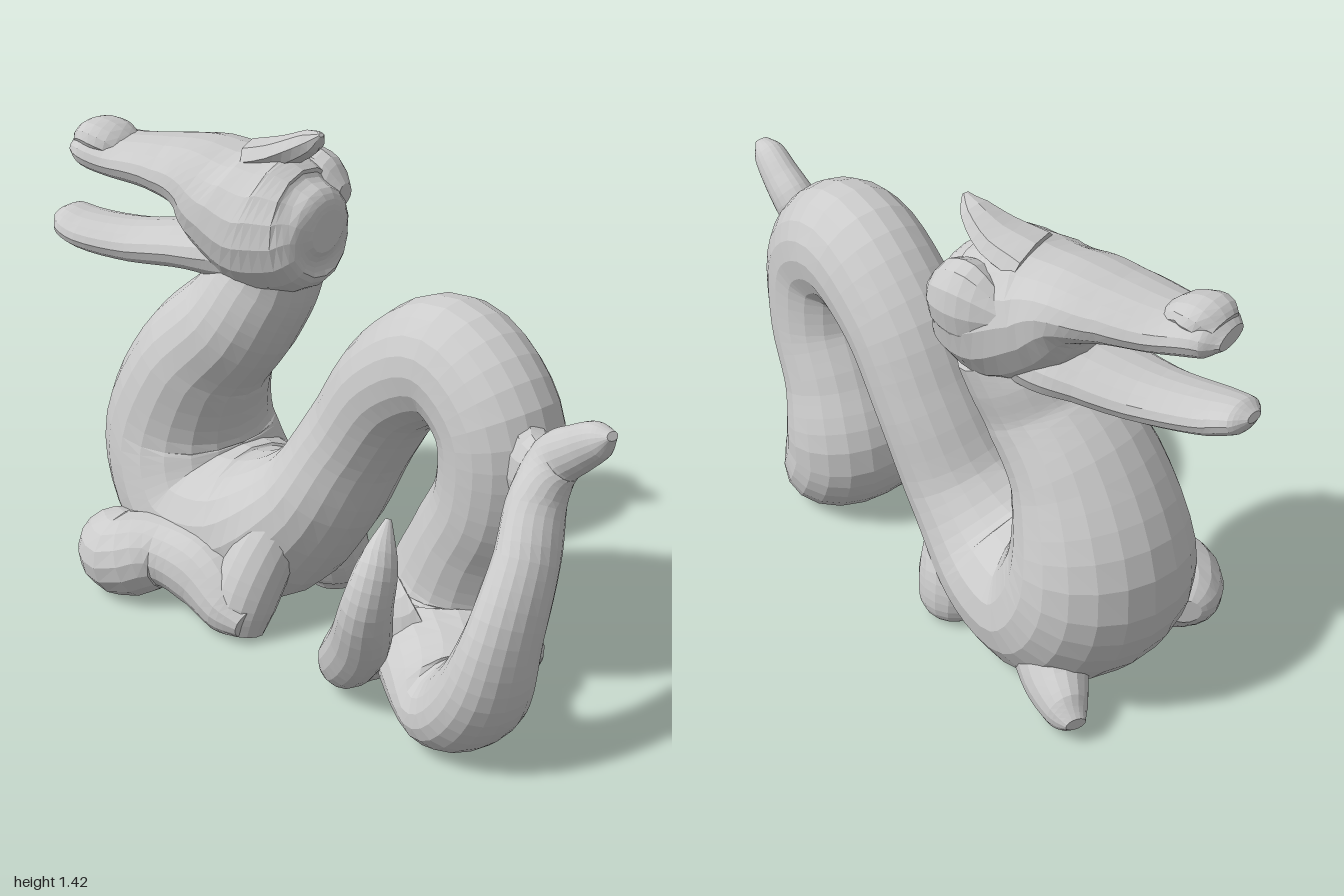
import * as THREE from 'three';

const material = new THREE.MeshStandardMaterial({ color: 0xcccccc, flatShading: true });
const FLOOR = 0.01;

// Elliptical tube through rows of [x, y, z, in-plane radius, sideways radius]
function sweep(rows, steps = 4, sides = 16) {
  const path = new THREE.CatmullRomCurve3(rows.map(r => new THREE.Vector3(r[0], r[1], r[2])));
  const radii = new THREE.CatmullRomCurve3(
    rows.map(r => new THREE.Vector3(r[3], r[4], 0)), false, 'catmullrom', 0.5);
  const rings = (rows.length - 1) * steps;
  const pos = [], idx = [];
  const put = p => pos.push(p.x, Math.max(p.y, FLOOR), p.z);
  for (let i = 0; i <= rings; i++) {
    const c = path.getPoint(i / rings), t = path.getTangent(i / rings), r = radii.getPoint(i / rings);
    const s = new THREE.Vector3(0, 0, 1).addScaledVector(t, -t.z).normalize();
    const n = new THREE.Vector3().crossVectors(s, t);
    for (let j = 0; j < sides; j++) {
      const a = (j / sides) * Math.PI * 2;
      put(c.clone().addScaledVector(n, Math.max(r.x, 0.005) * Math.cos(a))
        .addScaledVector(s, Math.max(r.y, 0.005) * Math.sin(a)));
    }
  }
  for (let i = 0; i < rings; i++) {
    for (let j = 0; j < sides; j++) {
      const k = (j + 1) % sides, a = i * sides + j, b = i * sides + k;
      idx.push(a, b, a + sides, b, b + sides, a + sides);
    }
  }
  // End caps
  const start = pos.length / 3, last = rings * sides;
  put(path.getPoint(0));
  put(path.getPoint(1));
  for (let j = 0; j < sides; j++) {
    const k = (j + 1) % sides;
    idx.push(start, k, j, start + 1, last + j, last + k);
  }
  const g = new THREE.BufferGeometry();
  g.setAttribute('position', new THREE.Float32BufferAttribute(pos, 3));
  g.setIndex(idx);
  g.computeVertexNormals();
  return g;
}

export function createModel() {
  const model = new THREE.Group();
  model.name = 'dragon';
  const add = (name, geometry) => {
    const mesh = new THREE.Mesh(geometry, material);
    mesh.name = name;
    model.add(mesh);
  };

  // One serpentine form: neck, chest, arched back, hindquarters, coiled tail, leaf-shaped tip
  add('bodyAndTail', sweep([
    [-0.34, 1.03, -0.16, 0.14, 0.16],
    [-0.37, 0.96, -0.14, 0.16, 0.165],
    [-0.42, 0.85, -0.1, 0.17, 0.18],
    [-0.55, 0.68, -0.06, 0.195, 0.22],
    [-0.63, 0.42, -0.06, 0.24, 0.27],
    [-0.52, 0.23, -0.06, 0.235, 0.29],
    [-0.27, 0.23, -0.06, 0.23, 0.27],
    [-0.09, 0.38, -0.1, 0.175, 0.21],
    [0.03, 0.61, -0.15, 0.155, 0.18],
    [0.17, 0.83, -0.17, 0.165, 0.175],
    [0.37, 0.94, -0.18, 0.185, 0.175],
    [0.54, 0.83, -0.17, 0.18, 0.175],
    [0.55, 0.62, -0.17, 0.17, 0.18],
    [0.47, 0.44, -0.17, 0.175, 0.19],
    [0.42, 0.27, -0.17, 0.2, 0.22],
    [0.46, 0.17, -0.13, 0.17, 0.25],
    [0.57, 0.15, 0, 0.15, 0.22],
    [0.72, 0.14, 0.1, 0.13, 0.19],
    [0.82, 0.25, 0.14, 0.12, 0.15],
    [0.865, 0.42, 0.12, 0.092, 0.125],
    [0.85, 0.6, 0.03, 0.08, 0.1],
    [0.8, 0.74, -0.06, 0.075, 0.085],
    [0.81, 0.83, -0.11, 0.075, 0.065],
    [0.88, 0.89, -0.12, 0.065, 0.055],
    [0.95, 0.94, -0.12, 0.05, 0.045],
    [0.99, 0.965, -0.12, 0.012, 0.02],
  ], 5, 20));
  add('tailRoot', sweep([
    [0.67, 0.75, -0.14, 0.14, 0.08],
    [0.74, 0.76, -0.12, 0.125, 0.075],
    [0.81, 0.79, -0.09, 0.08, 0.05],
  ], 3, 12));

  // Head with open jaws, turned towards the front
  add('skullAndSnout', sweep([
    [-0.17, 1.15, -0.2, 0.06, 0.08],
    [-0.19, 1.15, -0.195, 0.12, 0.14],
    [-0.24, 1.14, -0.18, 0.175, 0.195],
    [-0.35, 1.145, -0.15, 0.205, 0.22],
    [-0.47, 1.195, -0.11, 0.17, 0.2],
    [-0.56, 1.245, -0.08, 0.11, 0.175],
    [-0.66, 1.26, -0.04, 0.08, 0.15],
    [-0.8, 1.262, 0.02, 0.062, 0.12],
    [-0.9, 1.275, 0.065, 0.055, 0.1],
    [-0.94, 1.275, 0.08, 0.025, 0.06],
  ]));
  add('nose', sweep([
    [-0.79, 1.29, 0.01, 0.03, 0.06],
    [-0.83, 1.31, 0.04, 0.045, 0.085],
    [-0.88, 1.315, 0.06, 0.048, 0.085],
    [-0.92, 1.3, 0.07, 0.03, 0.06],
  ], 3, 12));
  add('lowerJaw', sweep([
    [-0.42, 1.05, -0.12, 0.1, 0.15],
    [-0.49, 1.04, -0.1, 0.09, 0.15],
    [-0.58, 1.03, -0.06, 0.072, 0.135],
    [-0.75, 1.01, 0.02, 0.06, 0.11],
    [-0.9, 1.02, 0.09, 0.052, 0.095],
    [-0.97, 1.04, 0.11, 0.042, 0.075],
    [-1, 1.05, 0.12, 0.012, 0.03],
  ]));
  add('horn', sweep([
    [-0.42, 1.32, -0.15, 0.05, 0.1],
    [-0.33, 1.35, -0.19, 0.045, 0.08],
    [-0.25, 1.395, -0.21, 0.035, 0.045],
    [-0.21, 1.425, -0.21, 0.006, 0.01],
  ], 3, 8));
  add('rightEar', sweep([
    [-0.48, 1.21, -0.27, 0.05, 0.04],
    [-0.38, 1.21, -0.3, 0.12, 0.08],
    [-0.29, 1.21, -0.32, 0.1, 0.075],
    [-0.24, 1.21, -0.33, 0.03, 0.03],
  ], 3, 12));

  // Front legs and feet
  add('leftFrontLeg', sweep([
    [-0.68, 0.14, 0.2, 0.04, 0.05],
    [-0.64, 0.14, 0.23, 0.1, 0.11],
    [-0.54, 0.135, 0.26, 0.13, 0.145],
    [-0.42, 0.17, 0.2, 0.11, 0.12],
    [-0.28, 0.15, 0.18, 0.12, 0.11],
    [-0.15, 0.09, 0.19, 0.09, 0.09],
    [-0.07, 0.07, 0.19, 0.05, 0.06],
  ]));
  add('leftElbow', sweep([
    [-0.11, 0.36, 0.01, 0.08, 0.09],
    [-0.13, 0.24, 0.09, 0.1, 0.1],
    [-0.14, 0.1, 0.16, 0.1, 0.1],
    [-0.14, 0.02, 0.18, 0.08, 0.08],
  ]));
  add('rightPaw', sweep([
    [-0.6, 0.15, -0.2, 0.13, 0.11],
    [-0.68, 0.11, -0.24, 0.1, 0.09],
    [-0.77, 0.085, -0.27, 0.07, 0.06],
    [-0.82, 0.08, -0.28, 0.02, 0.03],
  ]));
  add('rightElbow', sweep([
    [-0.12, 0.26, -0.17, 0.08, 0.1],
    [-0.16, 0.15, -0.21, 0.11, 0.11],
    [-0.17, 0.06, -0.23, 0.1, 0.1],
    [-0.17, 0.015, -0.23, 0.07, 0.07],
  ]));

  // Left hind leg carries an upright fin-like foot
  add('leftHindLeg', sweep([
    [0.42, 0.25, 0, 0.13, 0.13],
    [0.38, 0.21, 0.07, 0.13, 0.12],
    [0.35, 0.14, 0.14, 0.1, 0.1],
    [0.34, 0.1, 0.18, 0.06, 0.06],
  ]));
  add('leftHindFoot', sweep([
    [0.24, 0.07, 0.15, 0.03, 0.04],
    [0.31, 0.11, 0.18, 0.08, 0.07],
    [0.42, 0.24, 0.22, 0.09, 0.08],
    [0.49, 0.4, 0.26, 0.07, 0.075],
    [0.5, 0.52, 0.23, 0.05, 0.06],
    [0.465, 0.615, 0.16, 0.008, 0.01],
  ]));

  return model;
}
